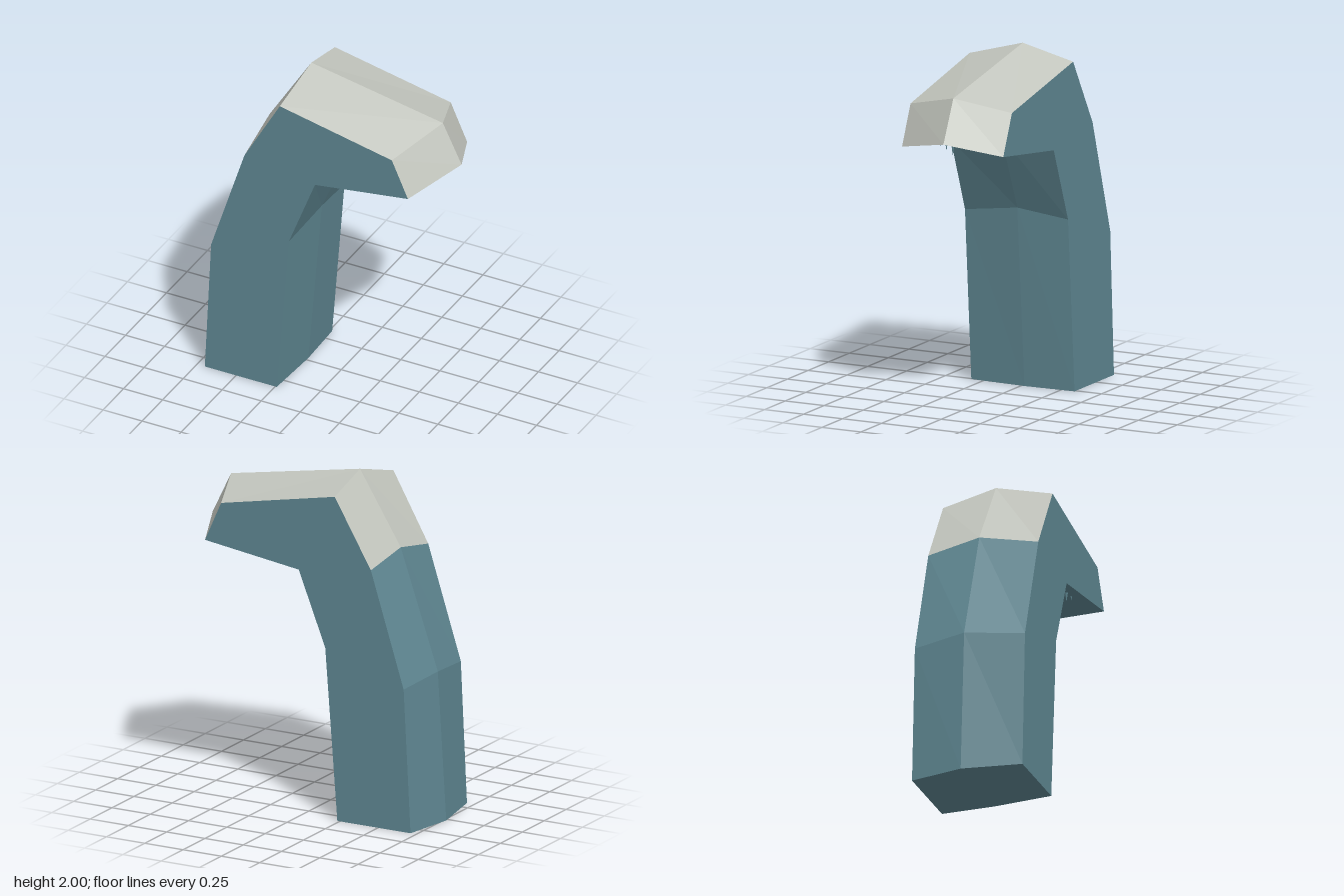
import * as THREE from 'three';

// Cliff outline, clockwise from the outer foot; the last edge closes the base
const front = [[-0.70, 0], [-0.66, 0.835], [-0.447, 1.50], [-0.22, 1.90], [0.497, 1.75],
  [0.60, 1.52], [0.005, 1.437], [-0.163, 1.003], [-0.24, 0]];
const ridge = [[-0.765, 0], [-0.71, 0.875], [-0.468, 1.575], [-0.202, 2.0], [0.64, 1.845],
  [0.76, 1.60], [0.06, 1.51], [-0.135, 1.055], [-0.222, 0]];
const back = [[-0.712, 0], [-0.667, 0.845], [-0.453, 1.52], [-0.217, 1.92], [0.525, 1.77],
  [0.63, 1.535], [0.018, 1.452], [-0.155, 1.015], [-0.234, 0]];
const sections = [{ p: front, z: 0.33 }, { p: ridge, z: -0.02 }, { p: back, z: -0.335 }];
const SNOW_EDGES = [2, 3, 4];

// Faceted skin joining the sections along the chosen outline edges
function skin(edges) {
  const pos = [];
  for (let s = 0; s < 2; s++) {
    const at = (k, i) => [...sections[s + k].p[i % 9], sections[s + k].z];
    for (const i of edges) {
      pos.push(...at(0, i), ...at(0, i + 1), ...at(1, i + 1));
      pos.push(...at(0, i), ...at(1, i + 1), ...at(1, i));
    }
  }
  const g = new THREE.BufferGeometry();
  g.setAttribute('position', new THREE.Float32BufferAttribute(pos, 3));
  g.computeVertexNormals();
  return g;
}

// Flat side wall; flip = 1 faces +z, -1 faces -z
function wall({ p, z }, flip) {
  const g = new THREE.ShapeGeometry(new THREE.Shape(p.map(([x, y]) => new THREE.Vector2(x * flip, y))));
  if (flip < 0) g.rotateY(Math.PI);
  return g.translate(0, 0, z);
}

export function createModel() {
  const rock = new THREE.MeshStandardMaterial({ name: 'blue grey rock', color: 0x5f8792, flatShading: true });
  const snow = new THREE.MeshStandardMaterial({ name: 'pale cap', color: 0xc3c6be, flatShading: true });
  const group = new THREE.Group();
  group.name = 'overhangingCliff';
  const add = (name, geometry, material) => {
    const mesh = new THREE.Mesh(geometry, material);
    mesh.name = name;
    group.add(mesh);
    return mesh;
  };

  add('cliffBody', skin([0, 1, 5, 6, 7, 8]), rock);
  add('frontWall', wall(sections[0], 1), rock);
  add('backWall', wall(sections[2], -1), rock);
  add('topCap', skin(SNOW_EDGES), snow);

  // Small spikes hanging under the overhang
  [[0.135, 1.38], [0.212, 1.425], [0.29, 1.465]].forEach(([x, tip], i) => {
    const h = 0.11 - i * 0.015;
    const spike = add('hangingSpike' + (i + 1), new THREE.ConeGeometry(0.016, h, 6), rock);
    spike.rotation.x = Math.PI;
    spike.position.set(x, tip + h / 2, 0.25);
  });
  return group;
}
